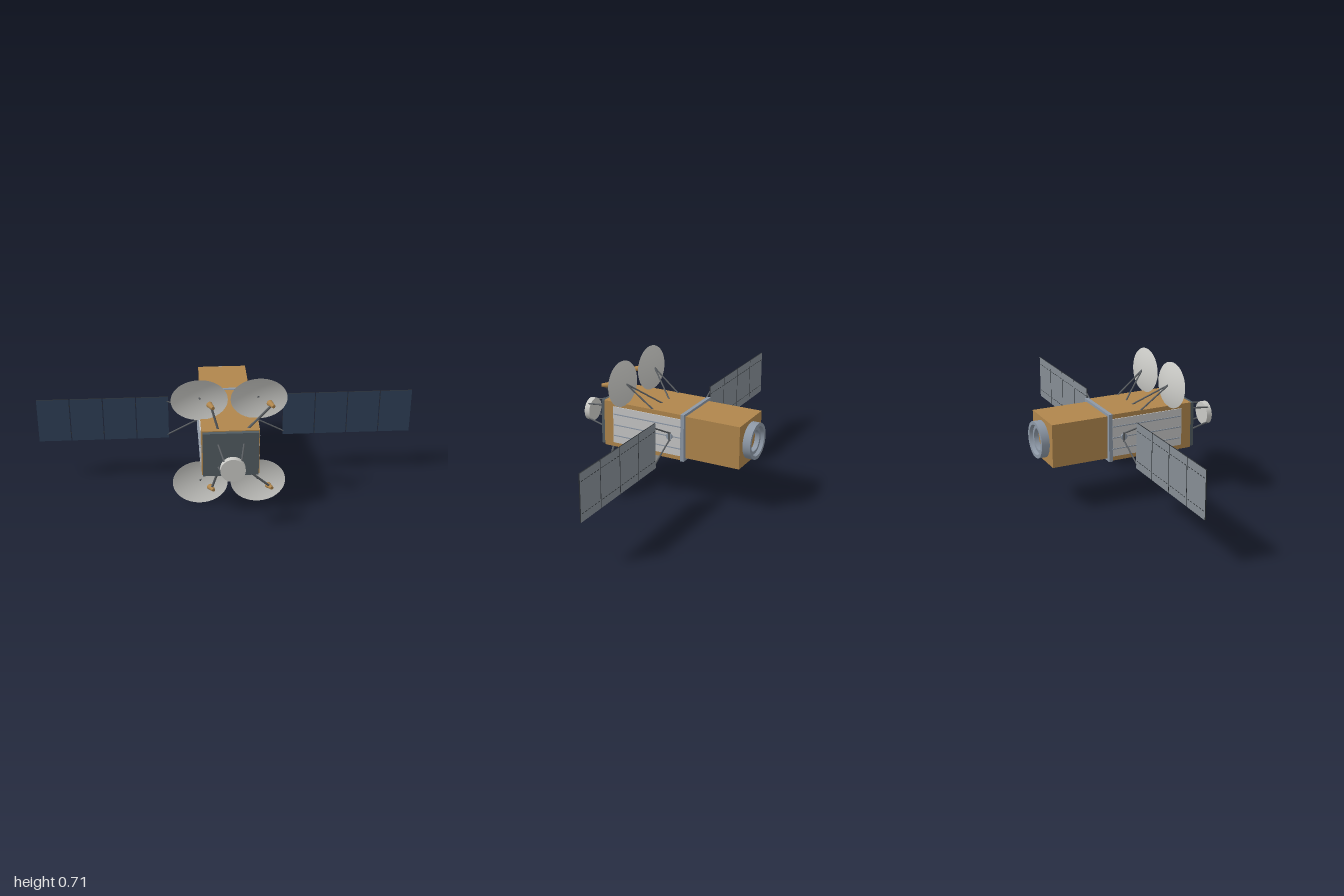
import * as THREE from 'three';

const mat = (name, color, side = THREE.FrontSide) => {
  const m = new THREE.MeshStandardMaterial({ color, side });
  m.name = name;
  return m;
};

export function createModel() {
  const model = new THREE.Group();
  model.name = 'satellite';

  const gold = mat('gold foil', 0xb0864c);
  const slate = mat('slate plate', 0x525c62);
  const light = mat('light radiator', 0xc6c6c6);
  const dishGrey = mat('dish grey', 0xcacac6, THREE.DoubleSide);
  const steel = mat('blue steel', 0x8d98a6);
  const strutGrey = mat('strut grey', 0x5a5e62);
  const solarBlue = mat('solar blue', 0x2e3f57);
  const panelBack = mat('panel back grey', 0x858d94);
  const dark = mat('dark edge', 0x2c3034);

  const CY = 0.36; // height of the main axis

  const add = (name, geo, material, x = 0, y = 0, z = 0, parent = model) => {
    const mesh = new THREE.Mesh(geo, material);
    mesh.name = name;
    mesh.position.set(x, y, z);
    parent.add(mesh);
    return mesh;
  };
  const box = (name, w, h, d, material, x, y, z, parent) =>
    add(name, new THREE.BoxGeometry(w, h, d), material, x, y, z, parent);

  // Tapered round bar between two points
  const bar = (name, a, b, r0, r1, material, sides = 10) => {
    const p = new THREE.Vector3(...a), q = new THREE.Vector3(...b);
    const dir = q.clone().sub(p);
    const mesh = add(name, new THREE.CylinderGeometry(r1, r0, dir.length(), sides), material);
    mesh.position.copy(p).add(q).multiplyScalar(0.5);
    mesh.quaternion.setFromUnitVectors(new THREE.Vector3(0, 1, 0), dir.normalize());
    return mesh;
  };

  // Body boxes, collar and front plate
  box('mainBody', 0.29, 0.25, 0.46, gold, 0, CY, 0.09);
  box('rearBody', 0.262, 0.228, 0.32, gold, 0, CY, -0.298);
  box('collar', 0.302, 0.256, 0.02, steel, 0, CY, -0.145);
  box('frontPlate', 0.28, 0.24, 0.022, slate, 0, CY, 0.33);

  // Engine ring with an open, stepped throat
  const ringProfile = [
    [0.055, 0], [0.096, 0], [0.096, 0], [0.096, 0.042], [0.096, 0.042],
    [0.078, 0.042], [0.078, 0.042], [0.072, 0.025], [0.072, 0.025],
    [0.056, 0.025], [0.056, 0.025], [0.055, 0],
  ].map(([r, h]) => new THREE.Vector2(r, h));
  const ringGeo = new THREE.LatheGeometry(ringProfile, 48);
  ringGeo.rotateX(-Math.PI / 2);
  add('engineRing', ringGeo, steel, 0, CY, -0.458);

  // Front antenna disc on four legs
  const discGeo = new THREE.CylinderGeometry(0.062, 0.062, 0.03, 32);
  discGeo.rotateX(Math.PI / 2);
  add('frontAntennaDisc', discGeo, dishGrey, 0, CY, 0.485);
  for (const sx of [-1, 1]) for (const sy of [-1, 1]) {
    bar('antennaLeg', [sx * 0.064, CY + sy * 0.064, 0.352],
      [sx * 0.042, CY + sy * 0.042, 0.485], 0.0045, 0.0045, strutGrey);
  }

  // Side radiators and solar wings
  for (const s of [-1, 1]) {
    box('radiator', 0.006, 0.202, 0.4, light, s * 0.147, CY, 0.064);
    for (const dy of [-0.06, 0, 0.06]) {
      box('radiatorRib', 0.004, 0.005, 0.395, steel, s * 0.151, CY + dy, 0.062);
    }

    const hub = new THREE.CylinderGeometry(0.017, 0.017, 0.014, 24);
    hub.rotateZ(Math.PI / 2);
    add('wingHub', hub, steel, s * 0.153, CY, -0.073);
    box('yokeBase', 0.006, 0.05, 0.01, strutGrey, s * 0.158, CY, -0.075);
    for (const sy of [-1, 1]) {
      bar('yokeArm', [s * 0.155, CY + sy * 0.018, -0.075],
        [s * 0.313, CY + sy * 0.1, -0.075], 0.004, 0.004, strutGrey);
    }

    const wing = new THREE.Group();
    wing.name = s > 0 ? 'leftSolarWing' : 'rightSolarWing';
    model.add(wing);
    const pitch = 0.1735;
    for (let i = 0; i < 4; i++) {
      const x = s * (0.3895 + i * pitch);
      const y = CY + 0.003;
      box('solarPanel', 0.168, 0.243, 0.006,
        [dark, dark, dark, dark, solarBlue, panelBack], x, y, -0.075, wing);
      // Dashed seams on the rear face
      for (const dy of [-0.08, 0.08]) for (let k = 0; k < 6; k++) {
        box('rearSeam', 0.016, 0.003, 0.001, dark, x + (k - 2.5) * 0.027, y + dy, -0.0784, wing);
      }
      // Hinges between neighbouring panels
      if (i < 3) for (const dy of [-0.08, 0.08]) {
        box('panelHinge', 0.012, 0.012, 0.003, dark, x + s * pitch / 2, y + dy, -0.0755, wing);
      }
    }
  }

  // Four shallow oval dishes with back struts and feed horns
  const R = 0.143, depth = 0.022;
  const curve = [];
  for (let i = 0; i <= 12; i++) {
    const t = i / 12;
    curve.push(new THREE.Vector2(R * t, depth * t * t));
  }
  const dishGeo = new THREE.LatheGeometry(curve, 48);
  dishGeo.rotateX(Math.PI / 2);
  dishGeo.scale(1, 0.825, 1);
  dishGeo.computeVertexNormals();

  for (const sx of [-1, 1]) for (const sy of [-1, 1]) {
    const c = [sx * 0.15, CY + sy * 0.24, 0.179];
    const dish = add('dish', dishGeo, dishGrey, ...c);
    dish.rotation.x = sy * 0.108;
    for (const x of [0.035, 0.138]) {
      bar('dishStrut', [sx * x, CY + sy * 0.122, 0.03],
        [c[0], c[1], 0.182], 0.0042, 0.0042, strutGrey);
    }
    // Feeds sit to the same side of every dish
    const fx = c[0] + 0.056;
    const foot = sx < 0 ? -0.062 : 0.088;
    bar('feedStrut', [foot, CY + sy * 0.12, 0.294], [fx, CY + sy * 0.234, 0.27],
      0.006, 0.006, strutGrey);
    bar('feedHorn', [fx + 0.009, CY + sy * 0.235, 0.289],
      [fx - 0.009, CY + sy * 0.238, 0.249], 0.009, 0.016, gold, 20);
  }

  return model;
}
